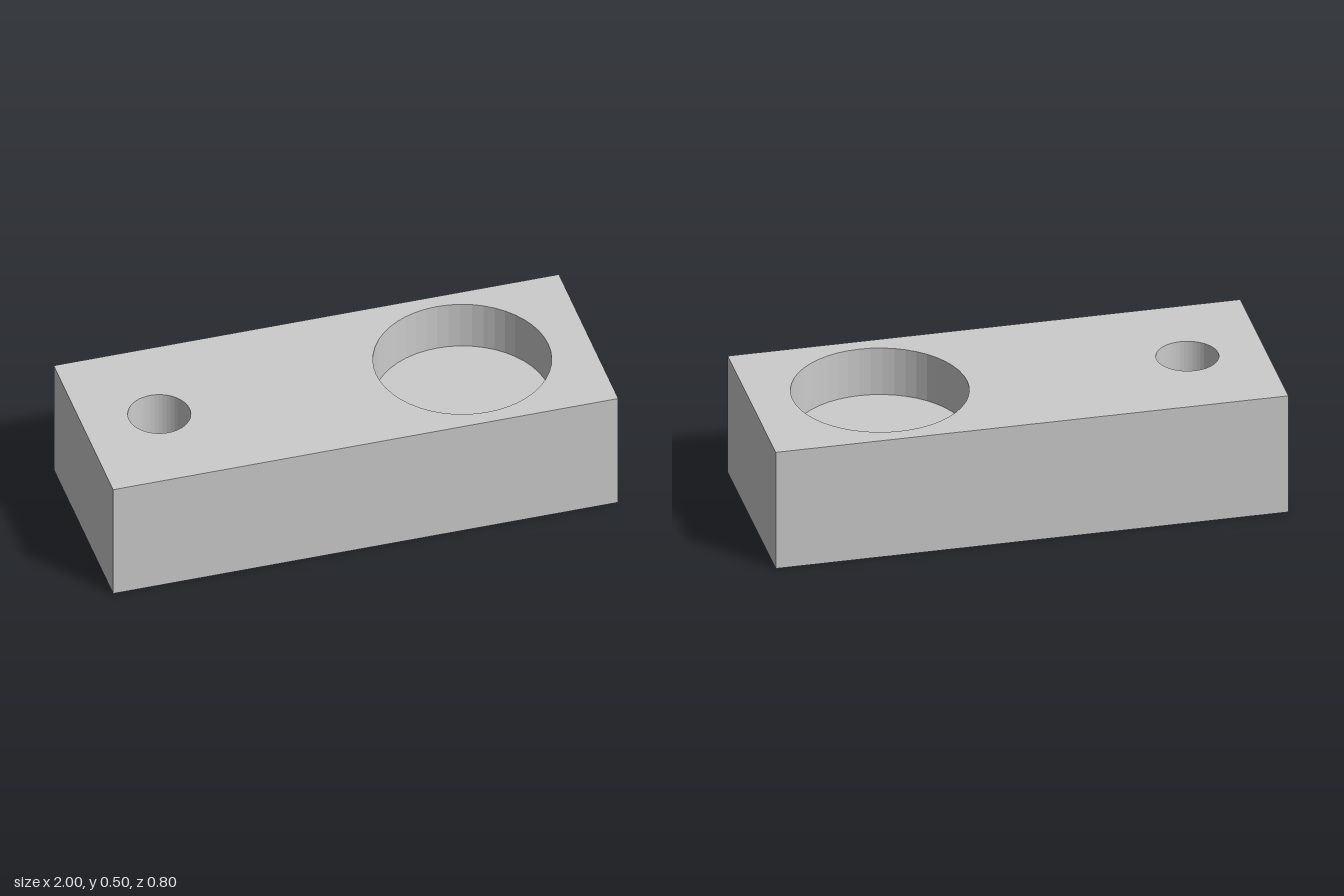
import * as THREE from 'three';

const LENGTH = 2, HEIGHT = 0.5, WIDTH = 0.8, SEGMENTS = 48;

// Blind round pockets sunk into the top face
const POCKETS = [
  { name: 'smallPocket', x: -0.7, radius: 0.12, depth: 0.2 },
  { name: 'largePocket', x: 0.5, radius: 0.34, depth: 0.2 },
];

export function createModel() {
  const group = new THREE.Group();
  const material = new THREE.MeshStandardMaterial({ color: 0xcccccc, flatShading: true });
  const add = (name, geometry) => {
    const mesh = new THREE.Mesh(geometry, material);
    mesh.name = name;
    group.add(mesh);
    return mesh;
  };

  // Block sides and underside: a box without its top face (indices 12 to 17)
  const box = new THREE.BoxGeometry(LENGTH, HEIGHT, WIDTH);
  box.setIndex(Array.from(box.index.array).filter((_, i) => i < 12 || i > 17));
  box.clearGroups();
  add('blockBody', box).position.y = HEIGHT / 2;

  // Top face with round openings
  const l = LENGTH / 2, w = WIDTH / 2;
  const top = new THREE.Shape([
    new THREE.Vector2(-l, -w), new THREE.Vector2(l, -w),
    new THREE.Vector2(l, w), new THREE.Vector2(-l, w),
  ]);
  for (const { x, radius } of POCKETS) {
    top.holes.push(new THREE.Path().absarc(x, 0, radius, 0, Math.PI * 2, true));
  }
  const topGeometry = new THREE.ShapeGeometry(top, SEGMENTS / 2).rotateX(-Math.PI / 2);
  add('topFace', topGeometry).position.y = HEIGHT;

  // Pocket walls and floors, turned from the rim down to the centre
  for (const { name, x, radius, depth } of POCKETS) {
    const profile = [
      new THREE.Vector2(radius, 0),
      new THREE.Vector2(radius, -depth),
      new THREE.Vector2(0, -depth),
    ];
    add(name, new THREE.LatheGeometry(profile, SEGMENTS)).position.set(x, HEIGHT, 0);
  }

  return group;
}
